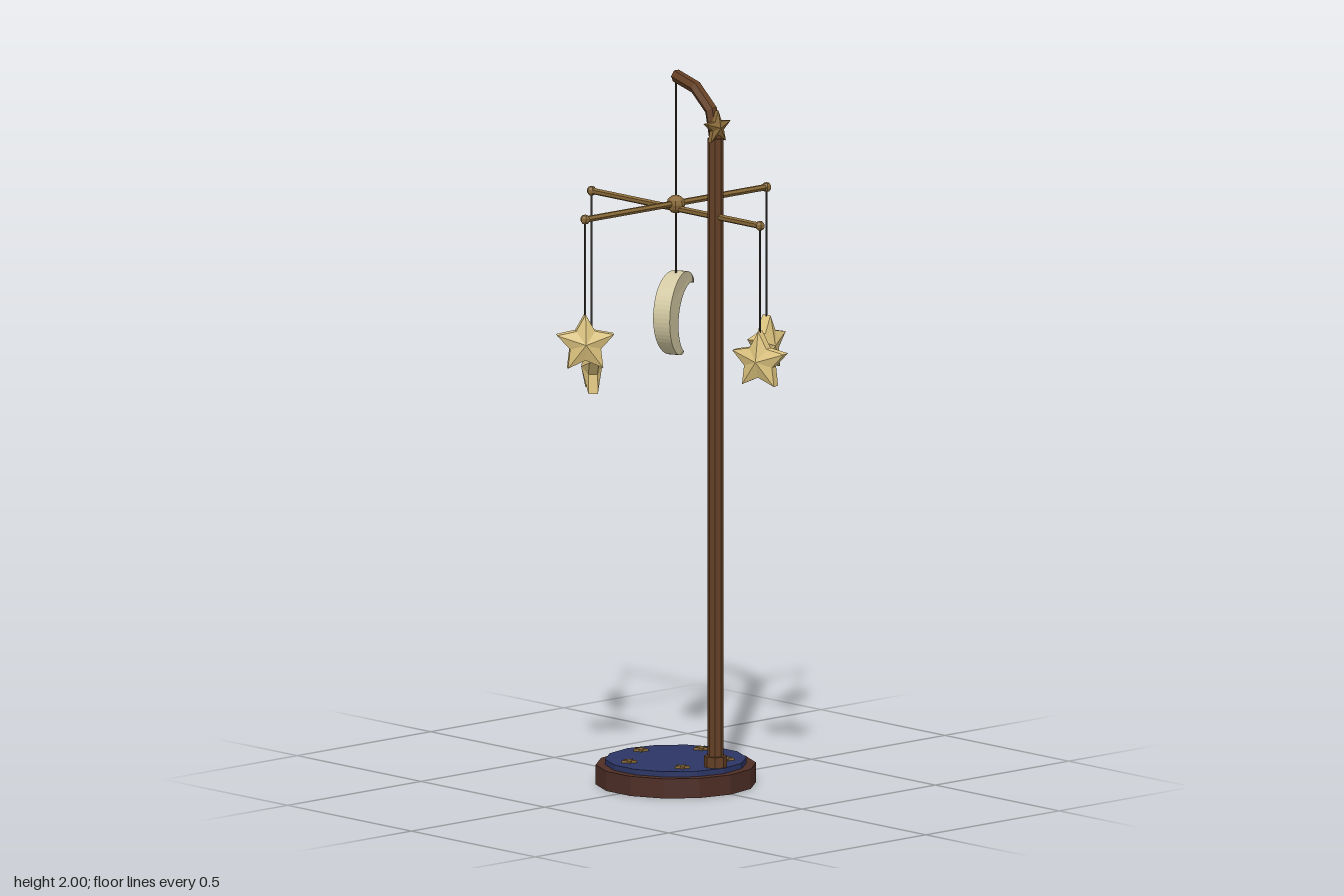
import * as THREE from 'three';

const mat = (name, color) => {
  const m = new THREE.MeshStandardMaterial({ color });
  m.name = name;
  return m;
};

export function createModel() {
  const mahogany = mat('mahogany', 0x4e2e26);
  const wood = mat('wood', 0x643f24);
  const blue = mat('night blue', 0x2c3666);
  const brass = mat('brass', 0x8a6a38);
  const cord = mat('cord', 0x3c3833);
  const gold = mat('pale gold', 0xdfc57f);
  const ivory = mat('ivory', 0xd2c8a2);

  const model = new THREE.Group();
  model.name = 'starMobile';
  const CX = -0.004, CZ = -0.005; // axis of base and mobile
  const POLE_Z = 0.155;

  // Adds a faceted mesh
  const add = (name, geometry, material, x = 0, y = 0, z = 0) => {
    const g = geometry.index ? geometry.toNonIndexed() : geometry;
    g.computeVertexNormals();
    const mesh = new THREE.Mesh(g, material);
    mesh.name = name;
    mesh.position.set(x, y, z);
    model.add(mesh);
    return mesh;
  };
  // Upright cylinder between two heights
  const post = (name, r, y0, y1, sides, material, x, z) =>
    add(name, new THREE.CylinderGeometry(r, r, y1 - y0, sides), material, x, (y0 + y1) / 2, z);

  // Five-pointed star with a straight rim and a raised centre on both faces
  const starGeometry = (R, inner, rim, peak) => {
    const pts = [];
    for (let i = 0; i < 10; i++) {
      const a = Math.PI / 2 + (i * Math.PI) / 5;
      const r = i % 2 ? R * inner : R;
      pts.push([r * Math.cos(a), r * Math.sin(a)]);
    }
    const v = [];
    pts.forEach((p, i) => {
      const q = pts[(i + 1) % 10];
      v.push(...p, rim, ...q, rim, 0, 0, peak);
      v.push(...q, -rim, ...p, -rim, 0, 0, -peak);
      v.push(...p, -rim, ...q, -rim, ...q, rim);
      v.push(...p, -rim, ...q, rim, ...p, rim);
    });
    const g = new THREE.BufferGeometry();
    g.setAttribute('position', new THREE.Float32BufferAttribute(v, 3));
    return g;
  };

  // Base with inlaid disc
  post('base', 0.221, 0, 0.055, 14, mahogany, CX, CZ);
  post('baseDisc', 0.195, 0.055, 0.07, 14, blue, CX, CZ);

  // Ring of small stars on the disc
  for (let i = 0; i < 5; i++) {
    const a = (i * Math.PI * 2) / 5;
    const star = add('baseStar', starGeometry(0.022, 0.45, 0.004, 0.006), brass,
      CX + 0.142 * Math.sin(a), 0.073, CZ - 0.142 * Math.cos(a));
    star.rotation.x = -Math.PI / 2;
  }

  // Pole, collar and curved arm
  post('poleCollar', 0.032, 0.07, 0.1, 8, wood, CX, POLE_Z);
  post('pole', 0.022, 0.07, 1.83, 8, wood, CX, POLE_Z);
  const bend = new THREE.QuadraticBezierCurve3(
    new THREE.Vector3(CX, 1.825, POLE_Z),
    new THREE.Vector3(CX, 1.96, 0.16),
    new THREE.Vector3(CX, 1.982, CZ));
  add('arm', new THREE.TubeGeometry(bend, 3, 0.018, 6), wood);
  add('armEnd', new THREE.CircleGeometry(0.018, 6), wood, CX, 1.982, CZ).rotation.y = Math.PI;
  add('poleStar', starGeometry(0.048, 0.45, 0.006, 0.016), brass, CX, 1.86, POLE_Z + 0.006);

  // Crossed bars and hub
  const barX = add('crossBar', new THREE.CylinderGeometry(0.009, 0.009, 0.68, 6), brass, CX, 1.624, CZ);
  barX.rotation.z = Math.PI / 2;
  const barZ = add('crossBar', new THREE.CylinderGeometry(0.009, 0.009, 0.68, 6), brass, CX, 1.61, CZ);
  barZ.rotation.x = Math.PI / 2;
  add('hub', new THREE.SphereGeometry(0.026, 8, 6), brass, CX, 1.622, CZ);
  post('mainCord', 0.0028, 1.41, 1.975, 5, cord, CX, CZ);

  // Hanging stars: bar end, bar height, star centre height, turn
  const hangers = [
    [0.34, 0, 1.624, 1.183, 15],
    [-0.34, 0, 1.624, 1.277, -37],
    [0, 0.34, 1.61, 1.232, -69],
    [0, -0.34, 1.61, 1.118, 52],
  ];
  for (const [dx, dz, barY, y, turn] of hangers) {
    const x = CX + dx, z = CZ + dz;
    add('barTip', new THREE.SphereGeometry(0.014, 6, 5), brass, x, barY, z);
    post('starCord', 0.0028, y + 0.075, barY, 5, cord, x, z);
    const star = add('hangingStar', starGeometry(0.083, 0.54, 0.013, 0.029), gold, x, y, z);
    star.rotation.y = THREE.MathUtils.degToRad(turn);
  }

  // Crescent moon, thinning towards its horns
  const R = 0.116, half = THREE.MathUtils.degToRad(57);
  const c = 0.0566, r = 0.0968;
  const innerHalf = Math.atan2(R * Math.sin(half), R * Math.cos(half) - c);
  const crescent = new THREE.Shape();
  crescent.absarc(0, 0, R, half, Math.PI * 2 - half, false);
  crescent.absarc(c, 0, r, Math.PI * 2 - innerHalf, innerHalf, true);
  const moonGeometry = new THREE.ExtrudeGeometry(crescent, { depth: 1, bevelEnabled: false, curveSegments: 20 });
  const p = moonGeometry.attributes.position;
  for (let i = 0; i < p.count; i++) {
    const t = THREE.MathUtils.clamp((R * Math.cos(half) - p.getX(i)) / (R * 1.5), 0, 1);
    p.setZ(i, (p.getZ(i) - 0.5) * (0.014 + 0.036 * Math.sqrt(t)));
  }
  moonGeometry.rotateZ(THREE.MathUtils.degToRad(-21));
  moonGeometry.translate(0.015, 0, 0);
  add('moon', moonGeometry, ivory, CX, 1.315, CZ).rotation.y = THREE.MathUtils.degToRad(24);

  return model;
}
